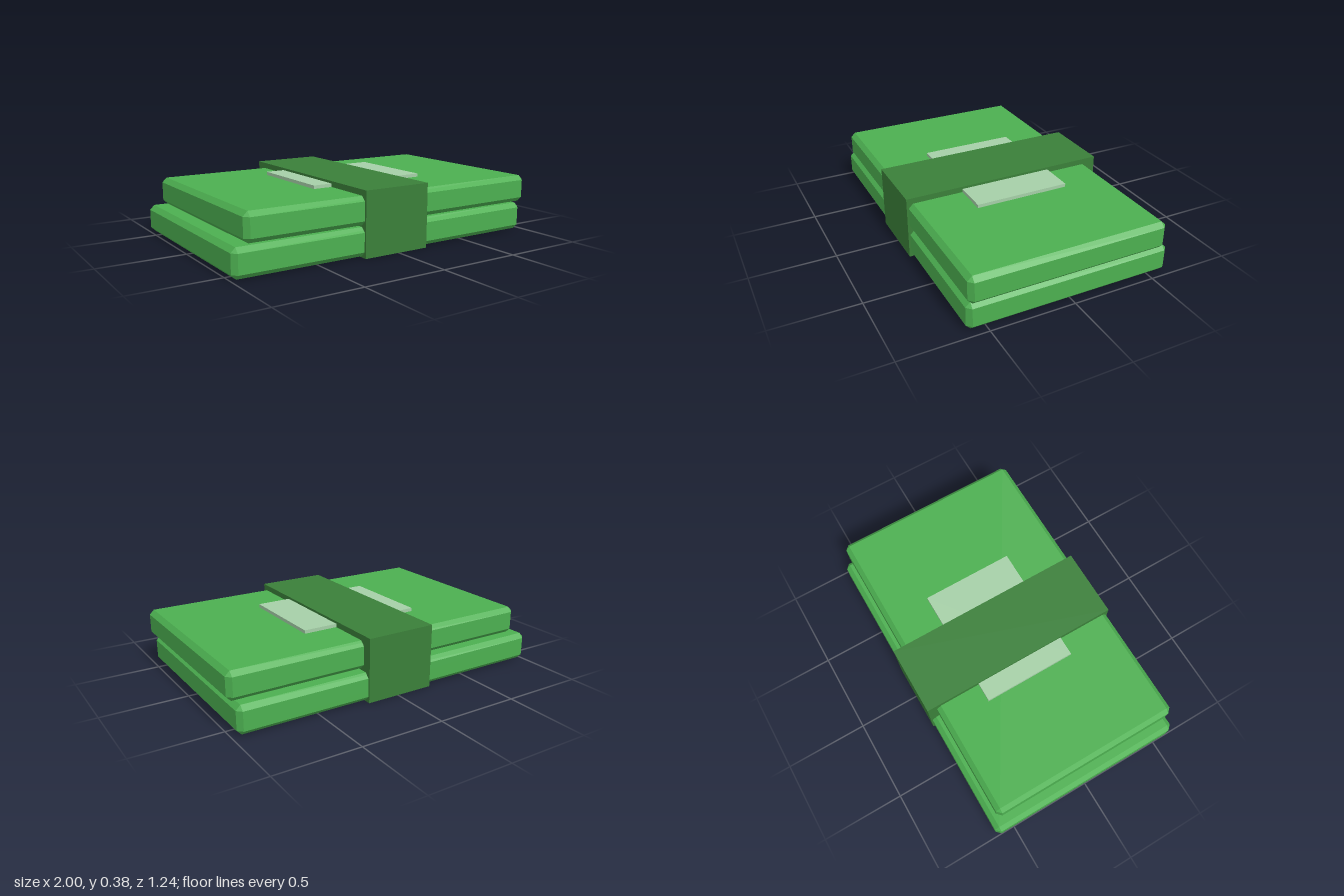
import * as THREE from 'three';
import { ConvexGeometry } from 'three/addons/geometries/ConvexGeometry.js';

const green = new THREE.MeshStandardMaterial({ color: 0x4caf50 });
green.name = 'noteGreen';
const darkGreen = new THREE.MeshStandardMaterial({ color: 0x3a7f39 });
darkGreen.name = 'bandGreen';
const paleGreen = new THREE.MeshStandardMaterial({ color: 0xa5cfa7 });
paleGreen.name = 'labelGreen';

// Box with every edge cut at 45 degrees
function chamferedBox(w, h, d, c) {
  const points = [];
  for (const sx of [-1, 1]) for (const sy of [-1, 1]) for (const sz of [-1, 1]) {
    const [x, y, z] = [sx * w / 2, sy * h / 2, sz * d / 2];
    points.push(
      new THREE.Vector3(x, y - sy * c, z - sz * c),
      new THREE.Vector3(x - sx * c, y, z - sz * c),
      new THREE.Vector3(x - sx * c, y - sy * c, z),
    );
  }
  return new ConvexGeometry(points);
}

// Adds a part filling the given bounds
function addPart(group, name, material, [x0, x1], [y0, y1], [z0, z1], chamfer = 0) {
  const size = [x1 - x0, y1 - y0, z1 - z0];
  const geometry = chamfer ? chamferedBox(...size, chamfer) : new THREE.BoxGeometry(...size);
  const mesh = new THREE.Mesh(geometry, material);
  mesh.name = name;
  mesh.position.set((x0 + x1) / 2, (y0 + y1) / 2, (z0 + z1) / 2);
  group.add(mesh);
}

export function createModel() {
  const group = new THREE.Group();
  group.name = 'banknoteBundle';

  // Two slightly offset stacks of notes
  addPart(group, 'lowerStack', green, [-1, 0.973], [0.007, 0.171], [-0.612, 0.61], 0.027);
  addPart(group, 'upperStack', green, [-0.93, 1], [0.18, 0.343], [-0.565, 0.61], 0.027);

  // Pale label on the top note
  addPart(group, 'label', paleGreen, [-0.343, 0.405], [0.335, 0.363], [-0.285, 0.28]);

  // Paper band around both stacks
  addPart(group, 'band', darkGreen, [-0.225, 0.198], [0, 0.377], [-0.622, 0.622]);

  return group;
}
